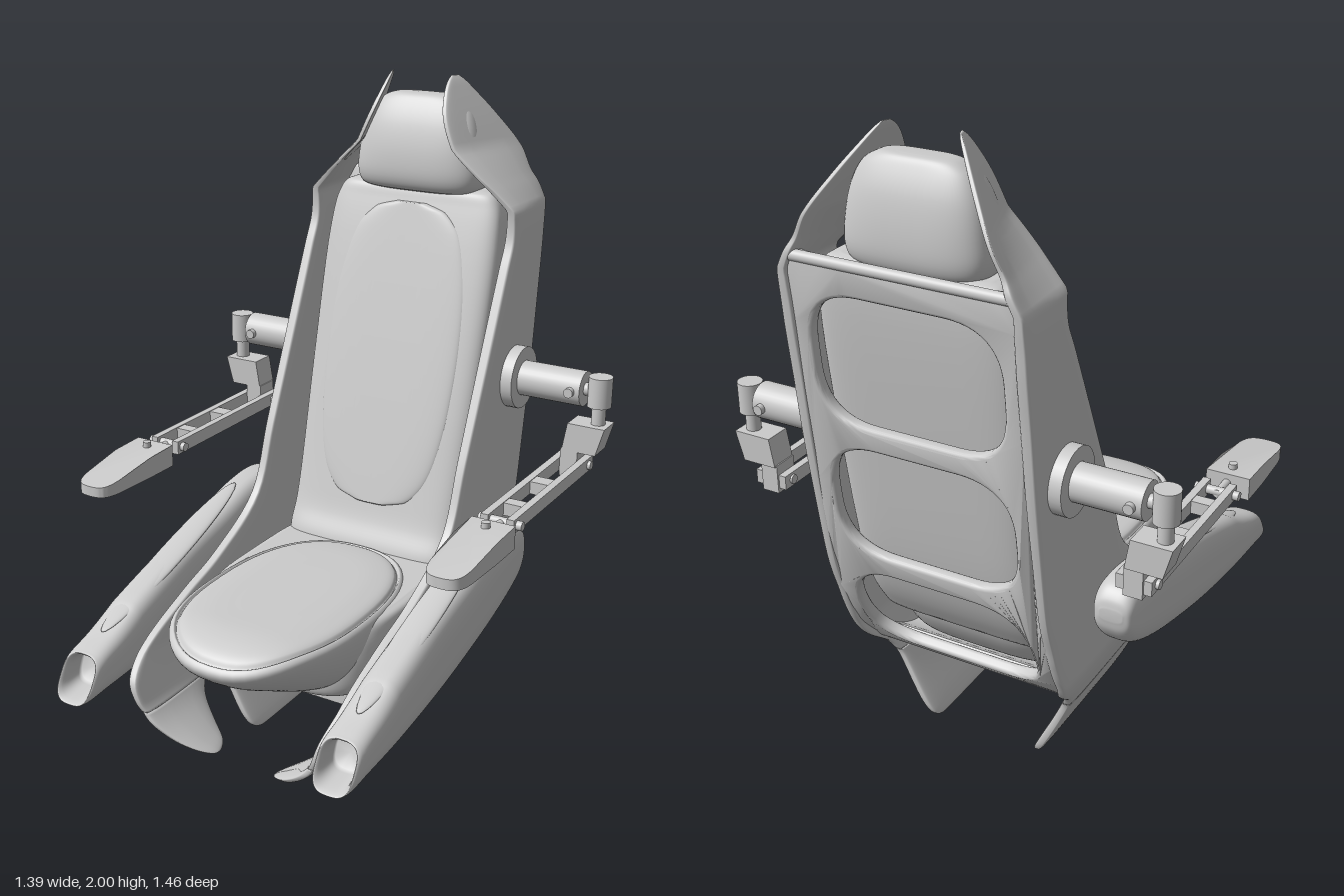
import * as THREE from 'three';
import { toCreasedNormals } from 'three/addons/utils/BufferGeometryUtils.js';

const material = new THREE.MeshStandardMaterial({ color: 0xcccccc, side: THREE.DoubleSide });
const clamp = THREE.MathUtils.clamp;

// Moves every vertex of a geometry by a rule.
function bend(geo, rule) {
  const p = geo.attributes.position, v = new THREE.Vector3();
  for (let i = 0; i < p.count; i++) {
    v.fromBufferAttribute(p, i);
    rule(v);
    p.setXYZ(i, v.x, v.y, v.z);
  }
  geo.computeVertexNormals();
  return geo;
}

// Superellipse cross-sections stacked upwards; row = [y, halfWidth, zFront, zBack].
function loft(rows, power, rule = () => {}, sides = 56, steps = 6) {
  const depth = new THREE.CatmullRomCurve3(rows.map(r => new THREE.Vector3(r[0], r[2], r[3])));
  const width = new THREE.CatmullRomCurve3(rows.map(r => new THREE.Vector3(r[0], r[1], 0)));
  const n = (rows.length - 1) * steps, pos = [], idx = [];
  const se = c => Math.sign(c) * Math.abs(c) ** (2 / power);
  for (let j = 0; j <= n; j++) {
    const d = depth.getPoint(j / n), w = width.getPoint(j / n).y;
    for (let i = 0; i < sides; i++) {
      const a = i / sides * Math.PI * 2;
      pos.push(w * se(Math.cos(a)), d.x, (d.y + d.z) / 2 + (d.y - d.z) / 2 * se(Math.sin(a)));
      const k = (i + 1) % sides, q = j * sides;
      if (j < n) idx.push(q + i, q + sides + i, q + k, q + k, q + sides + i, q + sides + k);
    }
  }
  // end caps
  const base = pos.length / 3;
  for (const r of [rows[0], rows[rows.length - 1]]) pos.push(0, r[0], (r[2] + r[3]) / 2);
  for (let i = 0; i < sides; i++) {
    const k = (i + 1) % sides;
    idx.push(base, i, k, base + 1, n * sides + k, n * sides + i);
  }
  const geo = new THREE.BufferGeometry();
  geo.setAttribute('position', new THREE.Float32BufferAttribute(pos, 3));
  geo.setIndex(idx);
  return bend(geo, rule);
}

function mirrored(geo) {
  const g = geo.clone().scale(-1, 1, 1);
  const src = g.index ? Array.from(g.index.array) : Array.from({ length: g.attributes.position.count }, (_, i) => i);
  for (let i = 0; i < src.length; i += 3) [src[i], src[i + 2]] = [src[i + 2], src[i]];
  g.setIndex(src);
  return g;
}

// Outer half width of the shell: wings lean in above, feet and toes curl in below.
function sideX(y, z) {
  if (y > 1.62) {
    const t = (y - 1.62) / 0.38;
    return 0.366 - t * 0.18 - 0.1 * clamp((z + 0.72) / 0.27, 0, 1) * Math.min(1, t * 2.2);
  }
  if (y > 0.4) return 0.366;
  const toe = THREE.MathUtils.smoothstep(z, 0.2, 0.52) * Math.max(0, 0.27 - y) ** 2 * 4.4;
  return 0.366 - 0.17 * ((0.4 - y) / 0.4) ** 1.3 - toe;
}

// Centre line of the back frame and underside, running down and then forward.
const spine = new THREE.CatmullRomCurve3([[-0.715, 1.67], [-0.655, 1.1], [-0.59, 0.68], [-0.53, 0.5],
  [-0.43, 0.34], [-0.3, 0.25], [-0.1, 0.22], [0.2, 0.22]].map(([z, y]) => new THREE.Vector3(0, y, z)));
const spineLength = spine.getLength();
function ontoSpine(v) {
  const u = clamp(v.y / spineLength, 0, 1), p = spine.getPointAt(u), t = spine.getTangentAt(u);
  const x = -v.x * sideX(p.y, p.z) / 0.366;
  v.set(x, p.y + t.z * v.z, p.z - t.y * v.z);
}

function roundedRect(path, w, s0, s1, r) {
  path.moveTo(-w + r, s0).lineTo(w - r, s0);
  path.quadraticCurveTo(w, s0, w, s0 + r).lineTo(w, s1 - r);
  path.quadraticCurveTo(w, s1, w - r, s1).lineTo(-w + r, s1);
  path.quadraticCurveTo(-w, s1, -w, s1 - r).lineTo(-w, s0 + r);
  path.quadraticCurveTo(-w, s0, -w + r, s0);
  return path;
}

const box = (x0, x1, y0, y1, z0, z1) => new THREE.BoxGeometry(x1 - x0, y1 - y0, z1 - z0)
  .translate((x0 + x1) / 2, (y0 + y1) / 2, (z0 + z1) / 2);
function rod(axis, r, length, x, y, z) {
  const g = new THREE.CylinderGeometry(r, r, length, 32);
  if (axis === 'x') g.rotateZ(Math.PI / 2);
  if (axis === 'z') g.rotateX(Math.PI / 2);
  return g.translate(x, y, z);
}

export function createModel() {
  const model = new THREE.Group();
  model.name = 'chair';
  const add = (name, geo) => {
    const mesh = new THREE.Mesh(geo, material);
    mesh.name = name;
    model.add(mesh);
  };
  const both = (name, geo) => { add(name + 'Left', geo); add(name + 'Right', mirrored(geo)); };

  // Side shells with head wings, rear feet and curled toes
  const onSide = v => { v.x += sideX(v.y, v.z) - 0.02; };
  both('sideShell', loft([[0.24, 0.018, 0.575, -0.355], [0.28, 0.018, 0.585, -0.38], [0.34, 0.02, 0.575, -0.45],
    [0.42, 0.02, 0.47, -0.5], [0.5, 0.02, 0.28, -0.535], [0.56, 0.02, 0.11, -0.555], [0.69, 0.02, -0.11, -0.595],
    [0.9, 0.021, -0.203, -0.63], [1.1, 0.022, -0.292, -0.66], [1.3, 0.022, -0.381, -0.683], [1.45, 0.021, -0.448, -0.702],
    [1.53, 0.02, -0.484, -0.71], [1.6, 0.018, -0.488, -0.718], [1.67, 0.015, -0.473, -0.722],
    [1.71, 0.012, -0.46, -0.71], [1.78, 0.01, -0.45, -0.71], [1.88, 0.01, -0.462, -0.66], [1.95, 0.008, -0.5, -0.615],
    [1.985, 0.006, -0.53, -0.59], [2.0, 0.003, -0.55, -0.575]], 6, onSide));
  both('rearFoot', loft([[0, 0.006, 0.13, -0.3], [0.015, 0.014, 0.165, -0.33], [0.05, 0.018, 0.18, -0.343],
    [0.18, 0.018, 0.19, -0.347], [0.22, 0.018, 0.22, -0.35], [0.24, 0.018, 0.25, -0.355]], 6, onSide));
  both('toe', loft([[0.1, 0.012, 0.45, 0.4], [0.11, 0.022, 0.49, 0.38], [0.14, 0.024, 0.535, 0.35],
    [0.2, 0.02, 0.57, 0.31], [0.24, 0.018, 0.575, 0.26]], 4, onSide));

  // Back frame with three rounded windows
  const frame = new THREE.Shape();
  frame.moveTo(-0.35, 0).quadraticCurveTo(0, 0.03, 0.35, 0);
  for (let s = 0.1; s < 1.4; s += 0.1) frame.lineTo(0.35, s);
  frame.lineTo(0.35, 1.45).lineTo(-0.35, 1.45);
  for (let s = 1.4; s > 0.05; s -= 0.1) frame.lineTo(-0.35, s);
  for (const [s0, s1] of [[0.1, 0.49], [0.56, 0.93], [1.0, 1.35]])
    frame.holes.push(roundedRect(new THREE.Path(), 0.285, s0, s1, 0.16));
  const frameGeo = new THREE.ExtrudeGeometry(frame, { depth: 0.015, bevelThickness: 0.012, bevelSize: 0.012,
    bevelOffset: -0.012, bevelSegments: 3, curveSegments: 12 }).translate(0, 0, 0.012);
  add('backFrame', toCreasedNormals(bend(frameGeo, ontoSpine), 0.7));
  const under = new THREE.BoxGeometry(0.7, spineLength - 1.43, 0.05, 10, 24, 1);
  under.translate(0, (spineLength + 1.43) / 2, 0.025);
  add('underside', toCreasedNormals(bend(under, ontoSpine), 0.7));
  add('topBar', rod('x', 0.016, 0.66, 0, 1.66, -0.705));

  // Seat; the cushion dips towards its front lip
  add('seatBody', loft([[0.32, 0.28, 0.33, -0.28], [0.34, 0.3, 0.37, -0.34], [0.42, 0.312, 0.37, -0.4],
    [0.5, 0.312, 0.34, -0.43], [0.53, 0.305, 0.31, -0.43], [0.54, 0.28, 0.28, -0.4]], 4));
  const dip = v => { v.y -= 1.2 * Math.max(0, v.z - 0.47) ** 2; };
  add('seatCushion', loft([[0.33, 0.22, 0.37, -0.08], [0.39, 0.26, 0.5, -0.15], [0.45, 0.278, 0.59, -0.19],
    [0.51, 0.284, 0.642, -0.21], [0.537, 0.28, 0.65, -0.21], [0.548, 0.268, 0.637, -0.198], [0.54, 0.26, 0.628, -0.19],
    [0.553, 0.25, 0.615, -0.18], [0.565, 0.2, 0.55, -0.12], [0.57, 0.1, 0.38, 0.05]], 2.4, dip));

  // Backrest cushion, its raised panel and the headrest
  const backZ = y => -0.25 - (y - 0.65) * 0.26;
  add('backCushion', loft([[0.48, 0.29, -0.19, -0.45], [0.55, 0.3, -0.205, -0.49], [0.62, 0.3, -0.238, -0.52],
    [0.72, 0.3, backZ(0.72), -0.55], [1.1, 0.304, backZ(1.1), -0.61], [1.5, 0.3, backZ(1.5), -0.66],
    [1.61, 0.285, -0.505, -0.665], [1.65, 0.26, -0.52, -0.66], [1.66, 0.22, -0.54, -0.64]], 6));
  add('backPanel', loft([[0.68, 0.06], [0.7, 0.13], [0.76, 0.18], [0.88, 0.215], [1.15, 0.235], [1.4, 0.22],
    [1.53, 0.18], [1.59, 0.12], [1.61, 0.05]].map(([y, w]) => [y, w, backZ(y) + 0.01, backZ(y) - 0.04]), 3.5));
  add('headrest', loft([[1.64, 0.16, -0.52, -0.64], [1.655, 0.2, -0.488, -0.665], [1.69, 0.212, -0.472, -0.678],
    [1.76, 0.208, -0.472, -0.678], [1.85, 0.188, -0.492, -0.662], [1.91, 0.155, -0.52, -0.637],
    [1.935, 0.11, -0.54, -0.62], [1.94, 0.05, -0.565, -0.6]], 3.2));

  // Side pods: lofted front to back with a slanted, hollow front end
  const slant = v => { v.y += (v.z - 0.37) * 0.6 * clamp((-v.y - 0.45) / 0.24, 0, 1); };
  both('sidePod', loft([[-0.61, 0.045, 0.415, 0.325], [-0.68, 0.053, 0.425, 0.31], [-0.692, 0.06, 0.433, 0.302],
    [-0.68, 0.066, 0.438, 0.3], [-0.6, 0.068, 0.464, 0.304], [-0.45, 0.07, 0.518, 0.313], [-0.2, 0.07, 0.598, 0.343],
    [0, 0.07, 0.648, 0.385], [0.15, 0.07, 0.69, 0.425], [0.27, 0.07, 0.702, 0.472], [0.33, 0.067, 0.69, 0.51],
    [0.362, 0.055, 0.66, 0.555], [0.372, 0.035, 0.63, 0.595]], 3, slant).rotateX(-Math.PI / 2).translate(0.442, 0, 0));
  const inlay = new THREE.SphereGeometry(1, 32, 20).scale(0.047, 0.012, 0.37).rotateX(0.315).translate(0.44, 0.581, 0.22);
  both('podInlay', inlay);

  // Shoulder joints
  both('hub', rod('x', 0.098, 0.06, 0.375, 1.1, -0.51));
  both('shoulderTube', rod('x', 0.055, 0.22, 0.5, 1.1, -0.51));
  both('shoulderPin', rod('z', 0.015, 0.14, 0.58, 1.1, -0.51));
  both('elbowLink', rod('x', 0.02, 0.05, 0.62, 1.1, -0.51));
  both('elbow', rod('y', 0.037, 0.095, 0.657, 1.1, -0.51));
  both('elbowStem', rod('y', 0.022, 0.08, 0.657, 1.02, -0.51));
  const bracket = new THREE.Shape([[0.56, 0.905], [0.67, 0.905], [0.695, 0.995], [0.575, 0.995]]
    .map(p => new THREE.Vector2(...p)));
  both('bracket', new THREE.ExtrudeGeometry(bracket, { depth: 0.085, bevelEnabled: false }).translate(0, 0, -0.55));
  both('bracketFoot', box(0.557, 0.613, 0.82, 0.91, -0.545, -0.465));

  // Forearms: twin rails, spacers and pins
  for (const x of [0.533, 0.614]) both('armRail', box(x, x + 0.023, 0.835, 0.878, -0.54, 0.045));
  for (const [z0, z1] of [[-0.295, -0.245], [-0.1, -0.06]]) both('armSpacer', box(0.55, 0.62, 0.837, 0.876, z0, z1));
  both('armPin', rod('x', 0.014, 0.136, 0.587, 0.856, 0.022));
  both('rearArmPin', rod('x', 0.014, 0.12, 0.587, 0.856, -0.505));
  both('padStem', rod('z', 0.013, 0.1, 0.59, 0.853, 0.06));

  // Arm pads, thinning towards the rounded front
  const pad = new THREE.Shape();
  pad.moveTo(0.525, -0.085).lineTo(0.525, -0.2).lineTo(0.53, -0.34);
  pad.bezierCurveTo(0.535, -0.4, 0.55, -0.412, 0.59, -0.412);
  pad.bezierCurveTo(0.635, -0.412, 0.65, -0.4, 0.655, -0.34);
  pad.lineTo(0.66, -0.2).lineTo(0.66, -0.085);
  const padGeo = new THREE.ExtrudeGeometry(pad, { depth: 0.07, bevelEnabled: false }).rotateX(-Math.PI / 2);
  both('armPad', toCreasedNormals(bend(padGeo, v => {
    v.y = v.y > 0.01 ? 0.89 - 0.16 * Math.abs(v.z - 0.13) : 0.813;
  }), 0.6));
  both('padScrew', rod('y', 0.013, 0.095, 0.59, 0.85, 0.13));

  return model;
}
